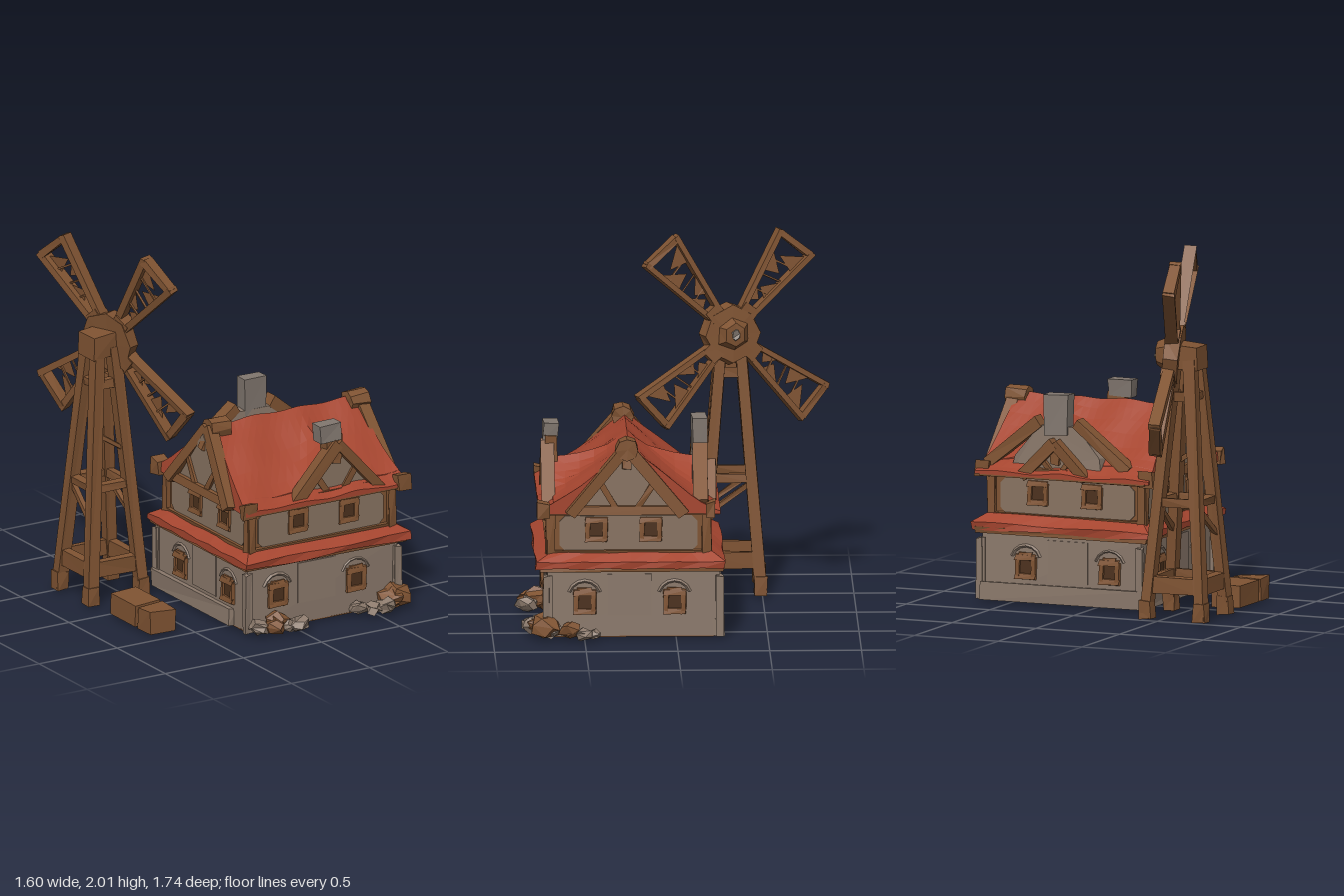
import * as THREE from 'three';

const mat = (name, color) => {
  const m = new THREE.MeshStandardMaterial({ color, flatShading: true, side: THREE.DoubleSide });
  m.name = name;
  return m;
};
const V = (x, y, z) => new THREE.Vector3(x, y, z);

export function createModel() {
  const wood = mat('wood', 0x7f5332);
  const dark = mat('dark wood', 0x4c311d);
  const red = mat('red roof', 0xa5452f);
  const stone = mat('stone wall', 0x8b796b);
  const plaster = mat('warm plaster', 0x887361);
  const grey = mat('grey stone', 0x81776f);
  const model = new THREE.Group();

  const add = (parent, name, geo, m, x = 0, y = 0, z = 0) => {
    const mesh = new THREE.Mesh(geo, m);
    mesh.name = name;
    mesh.position.set(x, y, z);
    parent.add(mesh);
    return mesh;
  };
  const group = (parent, name, x = 0, y = 0, z = 0, ry = 0) => {
    const g = new THREE.Group();
    g.name = name;
    g.position.set(x, y, z);
    g.rotation.y = ry;
    parent.add(g);
    return g;
  };
  // Shift vertices by a rule of their position, so shared corners stay joined
  const rough = (geo, a, seed = 0) => {
    const p = geo.attributes.position;
    const n = (x, y, z, k) => Math.sin(x * 57 + y * 91 + z * 73 + k * 2.1 + seed * 3.7) * a;
    for (let i = 0; i < p.count; i++) {
      const x = p.getX(i), y = p.getY(i), z = p.getZ(i);
      p.setXYZ(i, x + n(x, y, z, 1), y + n(x, y, z, 2), z + n(x, y, z, 3));
    }
    geo.computeVertexNormals();
    return geo;
  };
  const box = (parent, name, m, x0, x1, y0, y1, z0, z1, a = 0) =>
    add(parent, name, rough(new THREE.BoxGeometry(x1 - x0, y1 - y0, z1 - z0), a, x0 + z0), m,
      (x0 + x1) / 2, (y0 + y1) / 2, (z0 + z1) / 2);
  // Rectangular timber between two points: w across, d towards local z
  const beam = (parent, name, m, a, b, w, d = w) => {
    const dir = b.clone().sub(a), len = dir.length();
    const mesh = add(parent, name, rough(new THREE.BoxGeometry(w, len, d), 0.004, a.x + b.y), m);
    mesh.position.copy(a).add(b).multiplyScalar(0.5);
    mesh.quaternion.setFromUnitVectors(V(0, 1, 0), dir.normalize());
    return mesh;
  };
  const plate = (points, depth) => new THREE.ExtrudeGeometry(
    new THREE.Shape(points.map(p => new THREE.Vector2(...p))), { depth, bevelEnabled: false });

  // House body
  const house = group(model, 'house');
  box(house, 'lowerWalls', stone, -0.285, 0.665, 0.005, 0.38, -0.24, 0.7, 0.004);
  box(house, 'backPlinth', stone, -0.31, 0.67, 0.005, 0.1, -0.265, -0.2, 0.004);
  box(house, 'leftPlinth', stone, -0.315, -0.26, 0.005, 0.1, -0.26, 0.55, 0.004);
  box(house, 'underside', wood, -0.285, 0.665, 0, 0.006, -0.24, 0.7);
  box(house, 'lowerTrim', wood, -0.325, 0.7, 0.37, 0.4, -0.26, 0.745, 0.004);
  box(house, 'upperWalls', wood, -0.265, 0.635, 0.42, 0.7, -0.165, 0.685);

  // Red skirt between the storeys: upright edge and sloping top
  const skirt = new THREE.BoxGeometry(1.055, 0.08, 1.03, 8, 2, 8);
  const sp = skirt.attributes.position;
  for (let i = 0; i < sp.count; i++) {
    const y = sp.getY(i);
    if (y > 0.01) { sp.setX(i, sp.getX(i) * 0.88); sp.setZ(i, sp.getZ(i) * 0.86); }
    else if (y > -0.01) sp.setY(i, -0.002);
  }
  add(house, 'skirtRoof', rough(skirt, 0.005), red, 0.19, 0.428, 0.252);

  // Windows with timber frames
  const windowAt = (g, x, y, arched) => {
    const w = group(g, 'window', x, y, 0);
    for (const s of [-1, 1]) {
      box(w, 'jamb', wood, s * 0.048 - 0.016, s * 0.048 + 0.016, -0.065, 0.058, -0.01, 0.016, 0.005);
      box(w, 'rail', wood, -0.06, 0.06, s * 0.052 - 0.016, s * 0.052 + 0.016, -0.01, 0.02, 0.005);
    }
    box(w, 'pane', dark, -0.04, 0.04, -0.045, 0.045, 0, 0.008);
    if (arched) {
      box(w, 'lintel', wood, -0.042, 0.042, 0.06, 0.08, -0.01, 0.016, 0.004);
      const arc = new THREE.TorusGeometry(0.088, 0.01, 4, 6, Math.PI * 0.8);
      add(w, 'stoneArch', arc, stone, 0, 0.03, 0).rotation.z = Math.PI * 0.1;
    }
  };
  const q = Math.PI / 2;
  // Facades: x, z, turn, half width, window shift, window spread
  const lower = [[0.19, 0.7, 0, 0.475, -0.04, 0.25], [0.665, 0.23, q, 0.47, -0.025, 0.245],
    [0.19, -0.24, 2 * q, 0.475, 0.04, 0.25], [-0.285, 0.23, -q, 0.47, 0.025, 0.245]];
  const upper = [[0.185, 0.685, 0, 0.45, 0.014, 0.162], [0.635, 0.26, q, 0.425, -0.028, 0.148],
    [0.185, -0.165, 2 * q, 0.45, -0.014, 0.162], [-0.265, 0.26, -q, 0.425, 0.028, 0.148]];
  lower.forEach(([x, z, r, h, shift, spread]) => {
    const g = group(house, 'lowerFacade', x, 0, z, r);
    for (const s of [-1, 1]) {
      windowAt(g, shift + s * spread, 0.195, true);
      box(g, 'cornerPier', stone, s * h - 0.025, s * h + 0.01, 0.005, 0.34, -0.02, 0.015, 0.005);
    }
    box(g, 'wallPanel', stone, shift - 0.12, shift + 0.12, 0.12, 0.35, -0.01, 0.007);
  });
  upper.forEach(([x, z, r, h, shift, spread]) => {
    const g = group(house, 'upperFacade', x, 0, z, r);
    const k = h - 0.05, c = 0.03;
    add(g, 'plasterPanel', plate([[-k + c, 0.475], [k - c, 0.475], [k, 0.505], [k, 0.64], [k - c, 0.67],
      [-k + c, 0.67], [-k, 0.64], [-k, 0.505]], 0.007), plaster);
    for (const e of [-1, 1]) {
      windowAt(g, shift + e * spread, 0.593, false);
      box(g, 'cornerPost', wood, e * h - 0.025, e * h + 0.025, 0.45, 0.7, -0.025, 0.02, 0.004);
    }
    box(g, 'sill', wood, -h, h, 0.45, 0.48, -0.01, 0.02, 0.004);
    box(g, 'wallPlate', wood, -h - 0.03, h + 0.03, 0.675, 0.715, -0.02, 0.03, 0.004);
  });

  // Cross-gabled roof, swept by a height rule; the outer rows drop to close the edges
  const zs = [-0.24, -0.24, -0.2, -0.131, -0.13, -0.08, 0, 0.08, 0.15, 0.21, 0.26, 0.31, 0.37, 0.44, 0.52,
    0.6, 0.67, 0.671, 0.71, 0.75, 0.75];
  const nx = 24, roof = new THREE.PlaneGeometry(1, 1, nx, zs.length - 1), rp = roof.attributes.position;
  for (let i = 0; i < rp.count; i++) {
    const c = i % (nx + 1), r = Math.floor(i / (nx + 1)), z = zs[r];
    const u = Math.min(Math.max((c - 1) / (nx - 2), 0), 1), x = -0.3 + 0.98 * u;
    let y = 0.71 + 0.36 * Math.pow(Math.max(0, 1 - Math.abs(z - 0.26) / 0.5), 1.25);
    const lean = 0.18 * (y - 0.71) * (1 - u);
    if (z > -0.1305 && z < 0.6705) {
      const ridge = 0.93 + 0.06 * (1 - Math.abs(z - 0.26) / 0.41);
      const cross = ridge - 0.85 * Math.abs(x - 0.279);
      y = (y + cross + Math.sqrt((y - cross) ** 2 + 0.0008)) / 2;
    }
    y += 0.006 * Math.sin(x * 19 + z * 9) + 0.003 * Math.sin(x * 13 - z * 21);
    const edge = c === 0 || c === nx || r === 0 || r === zs.length - 1;
    const flare = 0.03 * Math.pow(Math.abs(z - 0.26) / 0.5, 2) * (x < 0 ? -1 : x > 0.5 ? 1 : 0);
    rp.setXYZ(i, x + flare + (c === 0 ? 0 : lean), edge ? 0.69 : y, z);
  }
  roof.computeVertexNormals();
  add(house, 'mainRoof', roof, red);
  box(house, 'eavesSoffit', wood, -0.3, 0.68, 0.68, 0.7, -0.235, 0.745);

  // Timbered gables on all four sides; the boards lean inward towards the top
  const gable = (name, x, z, ry, half, top, lean) => {
    const g = group(house, name, x, 0, z, ry);
    add(g, 'gablePanel', plate([[-half, 0.7], [half, 0.7], [0, top - 0.03]], 0.012), plaster);
    for (const s of [-1, 1]) {
      beam(g, 'bargeboard', wood, V(s * (half + 0.03), 0.69, 0.025), V(0, top, 0.025 - lean), 0.06, 0.07);
      beam(g, 'brace', wood, V(s * half * 0.2, 0.72, 0.015), V(s * half * 0.52, 0.72 + (top - 0.72) * 0.42, 0.015), 0.032, 0.025);
    }
    box(g, 'tieBeam', wood, -half, half, 0.69, 0.735, 0, 0.035, 0.004);
    beam(g, 'kingPost', wood, V(0, top - 0.12, 0.015), V(0, top, 0.015 - lean), 0.05, 0.04);
    return g;
  };
  const sideGable = (name, x, ry, lean, endZ) => {
    const g = gable(name, x, 0.27, ry, 0.28, 1.06, lean);
    add(g, 'ridgeEnd', rough(new THREE.CylinderGeometry(0.063, 0.06, 0.12, 8), 0.004), wood, 0, 1.05, endZ).rotation.x = q;
    for (const s of [-1, 1]) {
      box(g, 'purlinEnd', wood, s * 0.455 - 0.03, s * 0.455 + 0.03, 0.67, 0.755, -0.04, 0.04, 0.008);
    }
  };
  sideGable('rightGable', 0.68, q, 0.02, -0.01);
  sideGable('leftGable', -0.3, -q, 0.06, -0.08);
  const front = gable('frontGable', 0.28, 0.67, 0, 0.25, 1.0, 0);
  box(front, 'finialPost', wood, -0.07, 0.03, 0.9, 1.05, -0.03, 0.04, 0.005);
  box(front, 'finialStone', grey, -0.11, 0.025, 1.02, 1.11, -0.035, 0.045, 0.006);

  // Stone chimney breast rising above the small back gable
  const back = gable('backGable', 0.25, -0.165, 2 * q, 0.16, 0.88, 0);
  add(back, 'chimneyBreast', rough(plate([[-0.27, 0.7], [0.27, 0.7], [0.25, 0.8], [0.11, 0.97], [-0.11, 0.97],
    [-0.25, 0.8]], 0.07), 0.005), stone, 0, 0, -0.07);
  box(back, 'chimney', grey, -0.07, 0.07, 0.92, 1.14, -0.07, 0.01, 0.006);
  for (const s of [-1, 1]) {
    beam(back, 'backRafter', wood, V(s * 0.42, 0.74, -0.03), V(s * 0.11, 0.99, -0.03), 0.06, 0.08);
  }

  // Windmill tower
  const mill = group(model, 'windmill');
  const tower = group(mill, 'tower', -0.595, 0, -0.33);
  const half = y => 0.165 - 0.115 * y / 1.4;
  const corner = (i, y) => V([1, 1, -1, -1][i % 4] * half(y), y, [1, -1, -1, 1][i % 4] * half(y));
  for (let i = 0; i < 4; i++) {
    beam(tower, 'leg', wood, corner(i, 0.005), corner(i, 1.42), 0.062);
    const f = corner(i, 0.05);
    box(tower, 'foot', wood, f.x - 0.035, f.x + 0.035, 0, 0.1, f.z - 0.035, f.z + 0.035, 0.004);
    [[0.19, 0.09], [0.64, 0.045], [1.22, 0.05]].forEach(([y, w]) =>
      beam(tower, 'crossbar', wood, corner(i, y), corner(i + 1, y), i % 2 ? w : 0.045, i % 2 ? 0.045 : w));
    if (i % 2 === 0) beam(tower, 'lowerBrace', wood, corner(i, i ? 0.62 : 0.44), corner(i + 1, i ? 0.44 : 0.62), 0.028);
  }
  beam(tower, 'upperBrace', wood, corner(3, 0.95), corner(0, 0.83), 0.024);
  box(tower, 'head', wood, -0.095, 0.07, 1.37, 1.5, -0.08, 0.08, 0.008);

  // Rotor, its axle pointing along local z
  const rotor = group(mill, 'rotor', -0.52, 1.435, -0.33);
  rotor.lookAt(rotor.position.clone().add(V(0.95, 0.095, -0.28)));
  const cyl = (name, r0, r1, h, n, m, z) =>
    add(rotor, name, rough(new THREE.CylinderGeometry(r0, r1, h, n), 0.006), m, 0, 0, z).rotation.x = q;
  cyl('hub', 0.155, 0.175, 0.085, 8, wood, 0);
  cyl('hubBoss', 0.06, 0.1, 0.06, 6, wood, 0.06);
  cyl('hubCap', 0.025, 0.034, 0.02, 6, grey, 0.09);
  for (const deg of [51, 129, 221, 319]) {
    const b = group(rotor, 'sail');
    b.rotation.z = THREE.MathUtils.degToRad(deg - 90);
    const at = (s, r) => V(s * (0.035 + 0.075 * (r - 0.16) / 0.44), r, 0);
    beam(b, 'spar', wood, V(0, 0.06, 0), V(0, 0.19, 0), 0.09, 0.08);
    for (const s of [-1, 1]) beam(b, 'sailRail', wood, at(s, 0.14), at(s, 0.62), 0.035, 0.065);
    beam(b, 'tipBar', wood, at(-1, 0.605), at(1, 0.605), 0.04, 0.065);
    // Torn cloth left hanging in the frame
    [[1, 0.59, 0.46, 0.5], [-1, 0.52, 0.38, 0.42], [1, 0.4, 0.25, 0.3], [-1, 0.32, 0.2, 0.24]].forEach(([s, r0, r1, rt]) => {
      const p0 = at(s, r0), p1 = at(s, r1), p2 = at(-s * 0.35, rt);
      add(b, 'tornCloth', new THREE.ShapeGeometry(new THREE.Shape(
        [p0, p1, p2].map(p => new THREE.Vector2(p.x, p.y)))), wood, 0, 0, 0.005);
    });
    for (const r of [0.27, 0.36, 0.46]) beam(b, 'slat', wood, at(-1, r), at(1, r + 0.03), 0.01);
  }

  // Crates beside the house
  box(model, 'longCrate', wood, -0.75, -0.59, 0, 0.125, 0.03, 0.285, 0.005);
  box(model, 'shortCrate', wood, -0.75, -0.59, 0, 0.125, 0.31, 0.44, 0.005);

  // Rubble at the foot of the walls: x, z, radius
  [[-0.24, 0.74, 0.06], [-0.16, 0.77, 0.065], [-0.08, 0.78, 0.05], [-0.02, 0.8, 0.06], [-0.12, 0.72, 0.08],
    [0.47, 0.79, 0.05], [0.54, 0.79, 0.06], [0.6, 0.74, 0.08], [0.4, 0.73, 0.05], [0.68, 0.68, 0.06],
    [0.7, 0.58, 0.065], [0.75, 0.5, 0.05], [0.74, 0.45, 0.04], [0.66, 0.7, 0.09]].forEach(([x, z, r], i) => {
    const rock = add(model, 'rubble', rough(new THREE.DodecahedronGeometry(r), r * 0.2, i), i % 3 === 1 ? wood : stone,
      x, r * 0.7, z);
    rock.scale.y = 0.74;
    rock.rotation.y = i;
  });
  return model;
}
